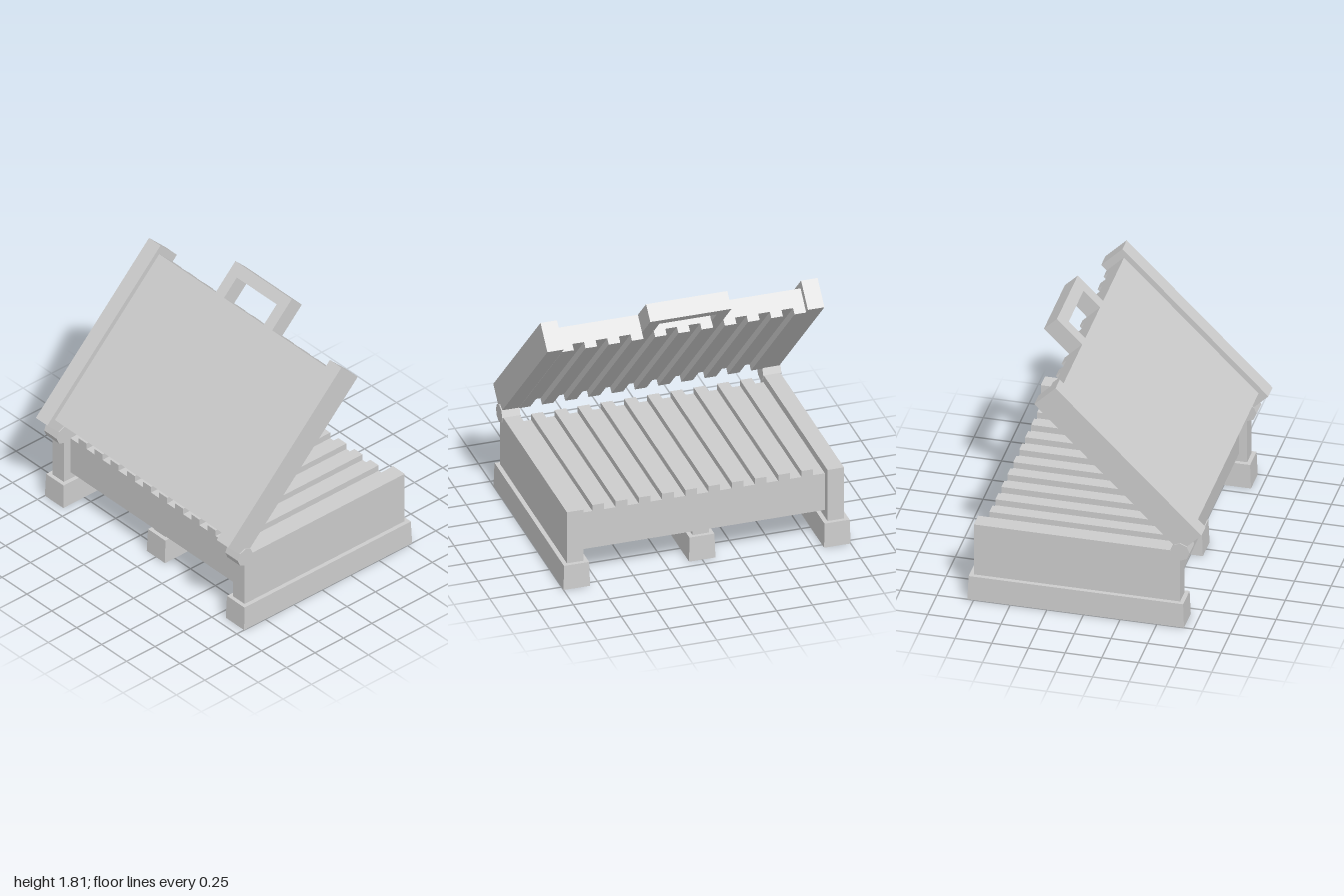
import * as THREE from 'three';

const material = new THREE.MeshStandardMaterial({ color: 0xcccccc, flatShading: true });

function addMesh(parent, name, geometry) {
  const mesh = new THREE.Mesh(geometry, material);
  mesh.name = name;
  parent.add(mesh);
  return mesh;
}

// Box given by its lower and upper limits on each axis
function addBox(parent, name, [x0, x1], [y0, y1], [z0, z1]) {
  const mesh = addMesh(parent, name, new THREE.BoxGeometry(x1 - x0, y1 - y0, z1 - z0));
  mesh.position.set((x0 + x1) / 2, (y0 + y1) / 2, (z0 + z1) / 2);
  return mesh;
}

// Foot: a box whose top is drawn in slightly
function addFoot(parent, name, xs, ys, zs) {
  const mesh = addBox(parent, name, xs, ys, zs);
  const p = mesh.geometry.attributes.position;
  for (let i = 0; i < p.count; i++) {
    if (p.getY(i) < 0) continue;
    p.setX(i, p.getX(i) - Math.sign(p.getX(i)) * 0.007);
    p.setZ(i, p.getZ(i) - Math.sign(p.getZ(i)) * 0.005);
  }
  mesh.geometry.computeVertexNormals();
}

// Evenly spaced grill ridges running along x
function addRidges(parent, name, count, xs, ys) {
  const pitch = 0.1618, half = 0.0405;
  for (let i = 0; i < count; i++) {
    const z = (i - (count - 1) / 2) * pitch;
    addBox(parent, name, xs, ys, [z - half, z + half]);
  }
}

export function createModel() {
  const model = new THREE.Group();
  model.name = 'grillPress';
  const hingeX = -0.65, hingeY = 0.565;

  const base = new THREE.Group();
  base.name = 'base';
  model.add(base);

  // Lid swings about the hinge axis, open at 45 degrees
  const lid = new THREE.Group();
  lid.name = 'lid';
  lid.position.set(hingeX, hingeY, 0);
  lid.rotation.z = Math.PI / 4;
  model.add(lid);

  // Side rails, feet and hinges, one set per side
  for (const s of [-1, 1]) {
    const span = (a, b) => (s > 0 ? [a, b] : [-b, -a]);
    addFoot(base, 'sideFoot', [-0.685, 0.792], [0, 0.178], span(0.815, 1));
    addBox(base, 'baseRail', [hingeX, 0.757], [0.178, hingeY], span(0.85, 0.965));
    addBox(lid, 'lidRail', [0, 1.407], [0, 0.205], span(0.85, 0.965));

    const hinge = addMesh(base, 'hinge', new THREE.CylinderGeometry(0.066, 0.066, 0.127, 8));
    hinge.rotation.x = Math.PI / 2;
    hinge.position.set(hingeX, hingeY, s * 0.909);
  }

  // Lower grill plate on its middle support
  addFoot(base, 'middleFoot', [-0.585, 0.69], [0, 0.178], [-0.092, 0.092]);
  addBox(base, 'middleSupport', [-0.55, 0.657], [0.178, 0.232], [-0.057, 0.057]);
  addBox(base, 'lowerPlate', [-0.593, 0.7], [0.232, 0.51], [-0.85, 0.85]);
  addRidges(base, 'lowerRidge', 10, [-0.593, 0.7], [0.51, 0.555]);

  // Upper grill plate, its ridges meshing between the lower ones
  addBox(lid, 'upperPlate', [0.057, 1.354], [0.042, 0.167], [-0.85, 0.85]);
  addRidges(lid, 'upperRidge', 11, [0.057, 1.354], [-0.002, 0.042]);

  // U-shaped handle, drawn flat and laid into the plane of the lid
  const outline = [
    [1.354, -0.283], [1.598, -0.283], [1.598, 0.283], [1.354, 0.283],
    [1.354, 0.2], [1.513, 0.2], [1.513, -0.2], [1.354, -0.2],
  ].map(([x, y]) => new THREE.Vector2(x, y));
  const handle = addMesh(lid, 'handle',
    new THREE.ExtrudeGeometry(new THREE.Shape(outline), { depth: 0.125, bevelEnabled: false }));
  handle.rotation.x = -Math.PI / 2;
  handle.position.y = 0.042;

  return model;
}
